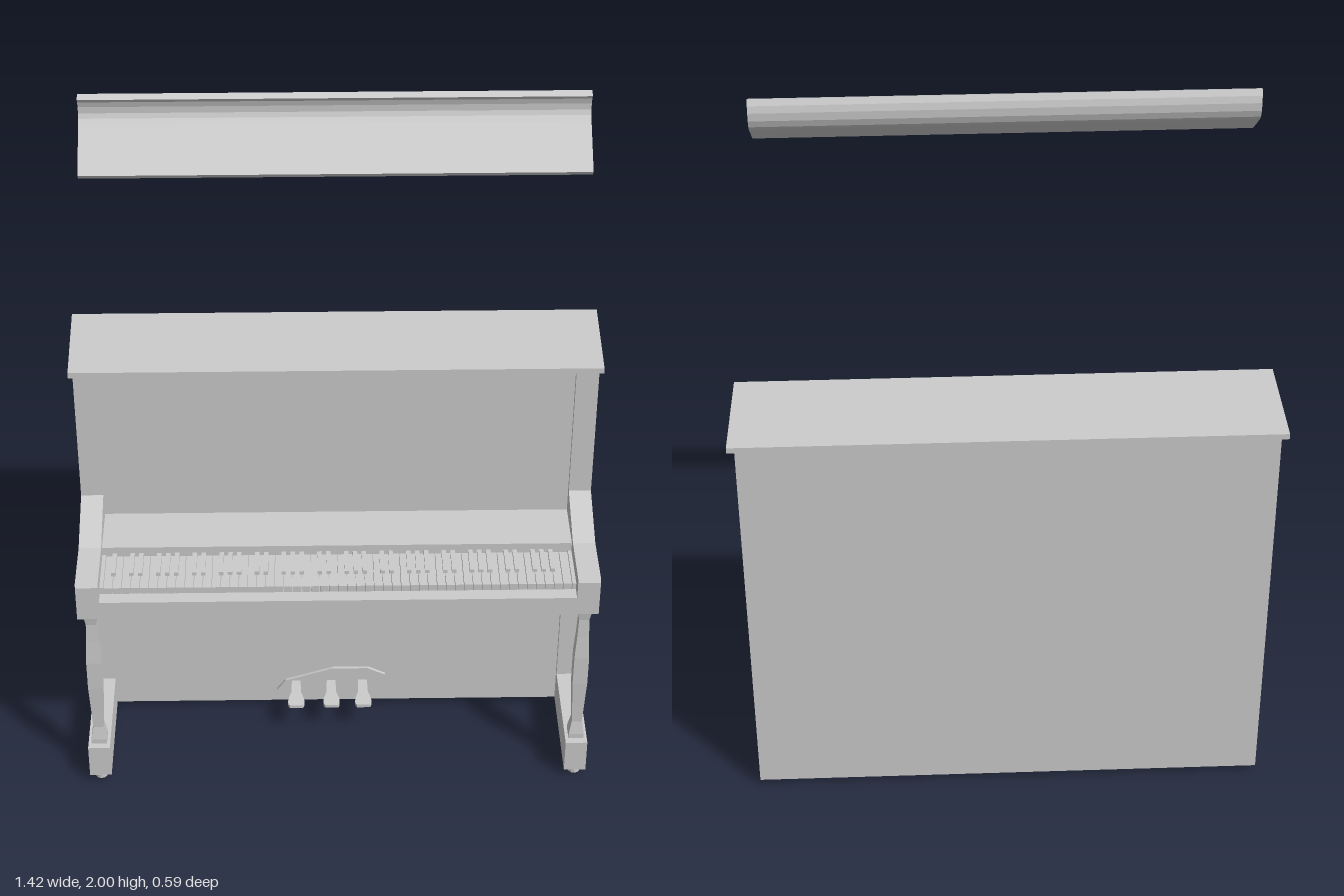
import * as THREE from 'three';

const mat = new THREE.MeshStandardMaterial({ color: 0xcccccc, flatShading: true });

export function createModel() {
  const root = new THREE.Group();
  root.name = 'uprightPiano';

  const add = (name, geo) => {
    const m = new THREE.Mesh(geo, mat);
    m.name = name;
    root.add(m);
    return m;
  };
  // Box given by its minimum and maximum corners
  const box = (name, x0, x1, y0, y1, z0, z1) =>
    add(name, new THREE.BoxGeometry(x1 - x0, y1 - y0, z1 - z0)
      .translate((x0 + x1) / 2, (y0 + y1) / 2, (z0 + z1) / 2));
  // Side profile of [z, y] points, extruded from x0 to x1
  const sideProfile = (name, pts, x0, x1) => {
    const shape = new THREE.Shape(pts.map(([z, y]) => new THREE.Vector2(-z, y)));
    const geo = new THREE.ExtrudeGeometry(shape, { depth: x1 - x0, bevelEnabled: false });
    return add(name, geo.rotateY(Math.PI / 2).translate(x0, 0, 0));
  };

  // Case with slightly recessed front panel
  box('caseBody', -0.63, 0.63, 0.02, 1.16, -0.297, -0.03);

  // Top lid, a little wider at the back
  const lid = new THREE.Shape([[-0.71, 0.297], [-0.702, 0.012], [0.702, 0.012], [0.71, 0.297]]
    .map(([x, y]) => new THREE.Vector2(x, y)));
  add('topLid', new THREE.ExtrudeGeometry(lid, { depth: 0.016, bevelEnabled: false })
    .rotateX(-Math.PI / 2).translate(0, 1.16, 0));

  // Turned-in square leg: [half width, y]
  const legProfile = [[0.021, 0.12], [0.021, 0.135], [0.014, 0.175], [0.016, 0.23], [0.02, 0.32],
    [0.02, 0.41], [0.016, 0.48], [0.014, 0.54], [0.021, 0.585], [0.021, 0.6]]
    .map(([w, y]) => new THREE.Vector2(w * Math.SQRT2, y));

  for (const s of [-1, 1]) {
    const x0 = s > 0 ? 0.63 : -0.69, x1 = x0 + 0.06, xc = s * 0.66;
    const side = s > 0 ? 'left' : 'right';
    // Side panel, arm and foot block as one profile
    sideProfile(side + 'SidePanel', [
      [-0.297, 0.02], [0.275, 0.02], [0.275, 0.12], [-0.015, 0.12], [-0.015, 0.6], [0.297, 0.6],
      [0.297, 0.705], [0.29, 0.715], [0.14, 0.715], [-0.015, 0.775], [-0.015, 1.16], [-0.297, 1.16],
    ], x0, x1);
    add(side + 'FrontLeg', new THREE.LatheGeometry(legProfile, 4, Math.PI / 4)
      .translate(xc, 0, 0.235));
    for (const z of [0.25, -0.255])
      add(side + 'Foot', new THREE.CylinderGeometry(0.017, 0.017, 0.02, 12).translate(xc, 0.01, z));
  }

  // Keybed, front rail and shelf behind the keys
  box('keybed', -0.63, 0.63, 0.6, 0.645, -0.03, 0.26);
  box('keySlip', -0.63, 0.63, 0.6, 0.655, 0.26, 0.297);
  box('keyShelf', -0.63, 0.63, 0.645, 0.7, -0.03, 0.12);

  // Keyboard: 52 white keys, black keys follow the octave pattern starting at A
  const pitch = 1.24 / 52;
  for (let i = 0; i < 52; i++) {
    const x = -0.62 + i * pitch;
    box('whiteKey', x + 0.0007, x + pitch - 0.0007, 0.645, 0.67, 0.12, 0.255);
    if (i < 51 && ![1, 4].includes(i % 7))
      box('blackKey', x + pitch - 0.006, x + pitch + 0.006, 0.66, 0.681, 0.12, 0.205);
  }
  for (const s of [-1, 1])
    box('keyBlock', s * 0.625 - 0.005, s * 0.625 + 0.005, 0.645, 0.675, 0.12, 0.26);

  // Pedal plate
  const plate = new THREE.Shape([[-0.17, 0.065], [-0.12, 0.038], [-0.01, 0.038], [0.12, 0.08],
    [0.14, 0.118], [0.09, 0.143], [-0.01, 0.143], [-0.145, 0.1]]
    .map(([x, y]) => new THREE.Vector2(x, y)));
  add('pedalPlate', new THREE.ExtrudeGeometry(plate, { depth: 0.01, bevelEnabled: false })
    .translate(0, 0, -0.032));

  // Pedals, wider towards the toe
  const pedal = new THREE.Shape();
  pedal.moveTo(-0.012, 0.03);
  pedal.lineTo(-0.014, -0.03);
  pedal.quadraticCurveTo(-0.03, -0.075, -0.018, -0.085);
  pedal.lineTo(0.018, -0.085);
  pedal.quadraticCurveTo(0.03, -0.075, 0.014, -0.03);
  pedal.lineTo(0.012, 0.03);
  for (const x of [-0.115, -0.015, 0.075])
    add('pedal', new THREE.ExtrudeGeometry(pedal, { depth: 0.01, bevelEnabled: false, curveSegments: 6 })
      .rotateX(-Math.PI / 2).translate(x, 0.09, 0));

  // Detached key cover floating above the case
  sideProfile('keyCover', [
    [0.002, 2.0], [-0.006, 1.985], [-0.01, 1.967], [-0.009, 1.945], [-0.002, 1.925], [0.012, 1.91],
    [0.112, 1.828], [0.126, 1.843], [0.024, 1.927], [0.013, 1.938], [0.008, 1.95], [0.008, 1.967],
    [0.012, 1.982], [0.019, 1.992],
  ], -0.627, 0.62);

  return root;
}
